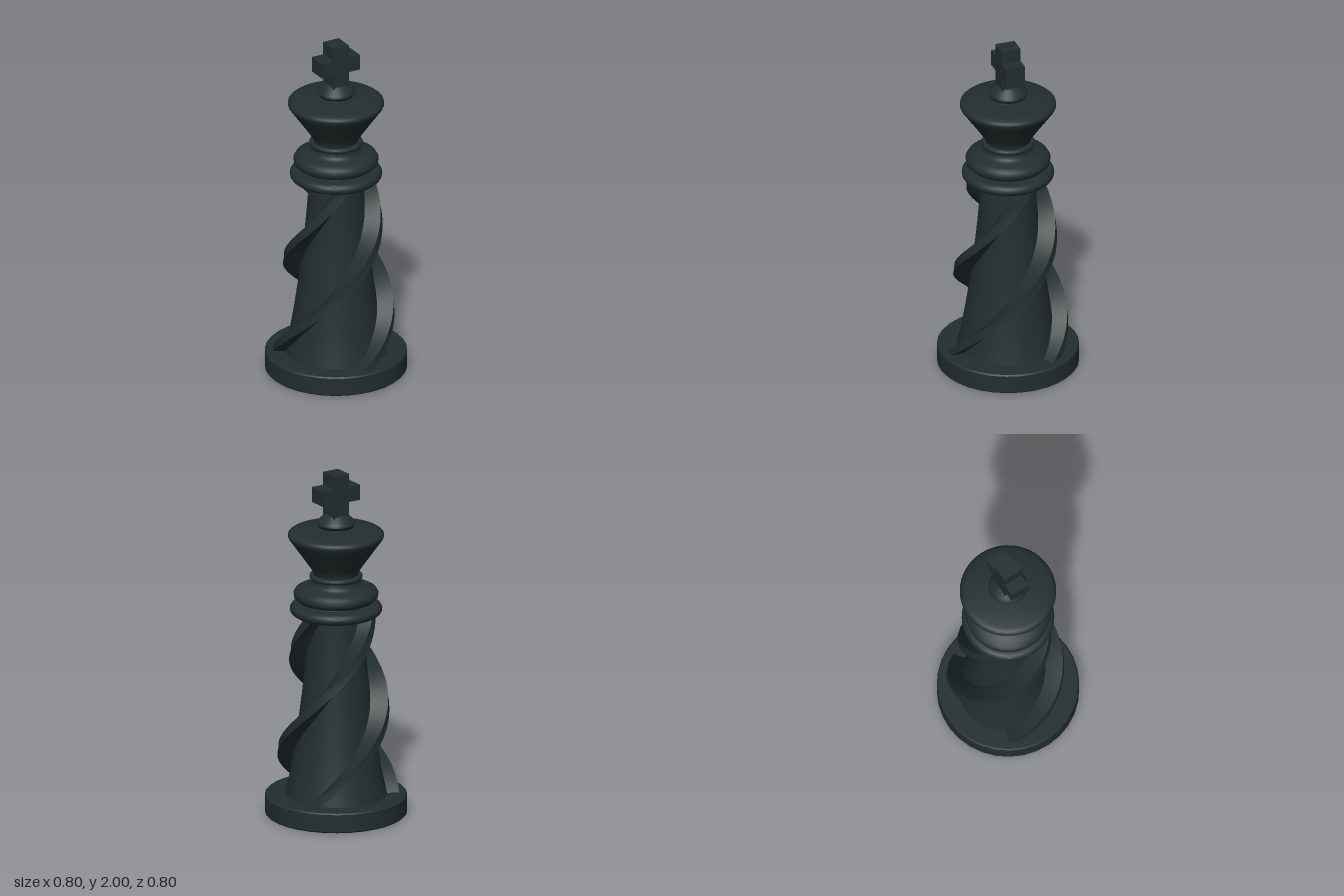
import * as THREE from 'three';
import { toCreasedNormals } from 'three/addons/utils/BufferGeometryUtils.js';

const ebony = new THREE.MeshStandardMaterial({ color: 0x222e2e });
ebony.name = 'ebony green';

const part = (name, geometry, parent) => {
  const mesh = new THREE.Mesh(geometry, ebony);
  mesh.name = name;
  parent.add(mesh);
  return mesh;
};

// Turned part from [radius, height] pairs, listed bottom to top
const turned = (name, points, parent, sides = 64, crease = 0.7) => {
  const profile = points.map(([r, y]) => new THREE.Vector2(r, y));
  return part(name, toCreasedNormals(new THREE.LatheGeometry(profile, sides), crease), parent);
};

// Points of a rounded ring, bulging from the inner radius
const ring = (inner, outer, y0, y1, flat) => {
  const h = (y1 - y0) / 2;
  const points = [[inner, y0]];
  for (let i = 0; i <= 10; i++) {
    const a = -Math.PI / 2 + (i / 10) * Math.PI;
    points.push([outer - flat + flat * Math.cos(a), y0 + h + h * Math.sin(a)]);
  }
  points.push([inner, y1]);
  return points;
};

// Spiral fin: a four-cornered section swept up the column
function finGeometry(turn) {
  const y0 = 0.1, y1 = 1.2, steps = 72;
  const positions = [], index = [];
  for (let j = 0; j <= steps; j++) {
    const y = y0 + ((y1 - y0) * j) / steps;
    const phi = turn + ((y - 0.75) / 0.58) * (Math.PI * 2 / 3);
    const outer = y < 0.75 ? 0.285 + (0.75 - y) * 0.105 : 0.285 - (y - 0.75) * 0.15;
    const inner = 0.12;
    for (const [r, w] of [[inner, -0.038], [outer, -0.033], [outer, 0.033], [inner, 0.038]]) {
      positions.push(
        Math.sin(phi) * r + Math.cos(phi) * w, y,
        Math.cos(phi) * r - Math.sin(phi) * w);
    }
  }
  for (let j = 0; j < steps; j++) {
    for (let k = 0; k < 3; k++) {
      const a = j * 4 + k, b = a + 1;
      index.push(a, b, b + 4, a, b + 4, a + 4);
    }
  }
  const geometry = new THREE.BufferGeometry();
  geometry.setAttribute('position', new THREE.Float32BufferAttribute(positions, 3));
  geometry.setIndex(index);
  return toCreasedNormals(geometry, 0.8);
}

export function createModel() {
  const model = new THREE.Group();
  model.name = 'chessKing';

  // Base disc and tapering column
  turned('base', [[0, 0], [0.393, 0], [0.4, 0.007], [0.4, 0.108], [0.393, 0.115], [0, 0.115]], model, 32);
  turned('column', [[0.29, 0.1], [0.262, 0.22], [0.235, 0.38], [0.212, 0.54],
    [0.192, 0.7], [0.175, 0.86], [0.161, 1.02], [0.15, 1.2]], model);

  // Three spiral fins
  const fins = new THREE.Group();
  fins.name = 'spiralFins';
  model.add(fins);
  for (let i = 0; i < 3; i++) part('fin', finGeometry((i * Math.PI * 2) / 3), fins);

  // Collars and neck
  turned('lowerCollar', ring(0, 0.26, 1.17, 1.235, 0.04), model);
  turned('collarGap', [[0.18, 1.22], [0.175, 1.24], [0.185, 1.26]], model);
  turned('upperCollar', [[0, 1.242], [0.18, 1.245], [0.218, 1.256], [0.236, 1.274], [0.239, 1.295],
    [0.228, 1.315], [0.2, 1.329], [0.16, 1.338], [0.142, 1.348], [0.135, 1.365], [0.135, 1.385]], model);
  turned('neckRing', ring(0.1, 0.15, 1.378, 1.408, 0.018), model);

  // Flared crown
  turned('crown', [[0.125, 1.395], [0.128, 1.42], [0.148, 1.452], [0.18, 1.498], [0.214, 1.546],
    [0.245, 1.59], [0.265, 1.617], [0.271, 1.632], [0.268, 1.645], [0.255, 1.655],
    [0.23, 1.661], [0.17, 1.668], [0.1, 1.676], [0, 1.68]], model);

  // Finial knob
  turned('knob', [[0.095, 1.665], [0.09, 1.683], [0.103, 1.692], [0.11, 1.705], [0.106, 1.718],
    [0.088, 1.734], [0.068, 1.753], [0.06, 1.76], [0, 1.762]], model, 48);

  // Cross, turned slightly about the axis
  const cross = new THREE.Group();
  cross.name = 'cross';
  cross.rotation.y = -0.225;
  model.add(cross);
  part('crossPost', new THREE.BoxGeometry(0.102, 0.26, 0.113), cross).position.y = 1.87;
  for (const side of [-1, 1]) {
    part('crossArm', new THREE.BoxGeometry(0.074, 0.09, 0.113), cross).position.set(side * 0.086, 1.879, 0);
  }
  return model;
}
